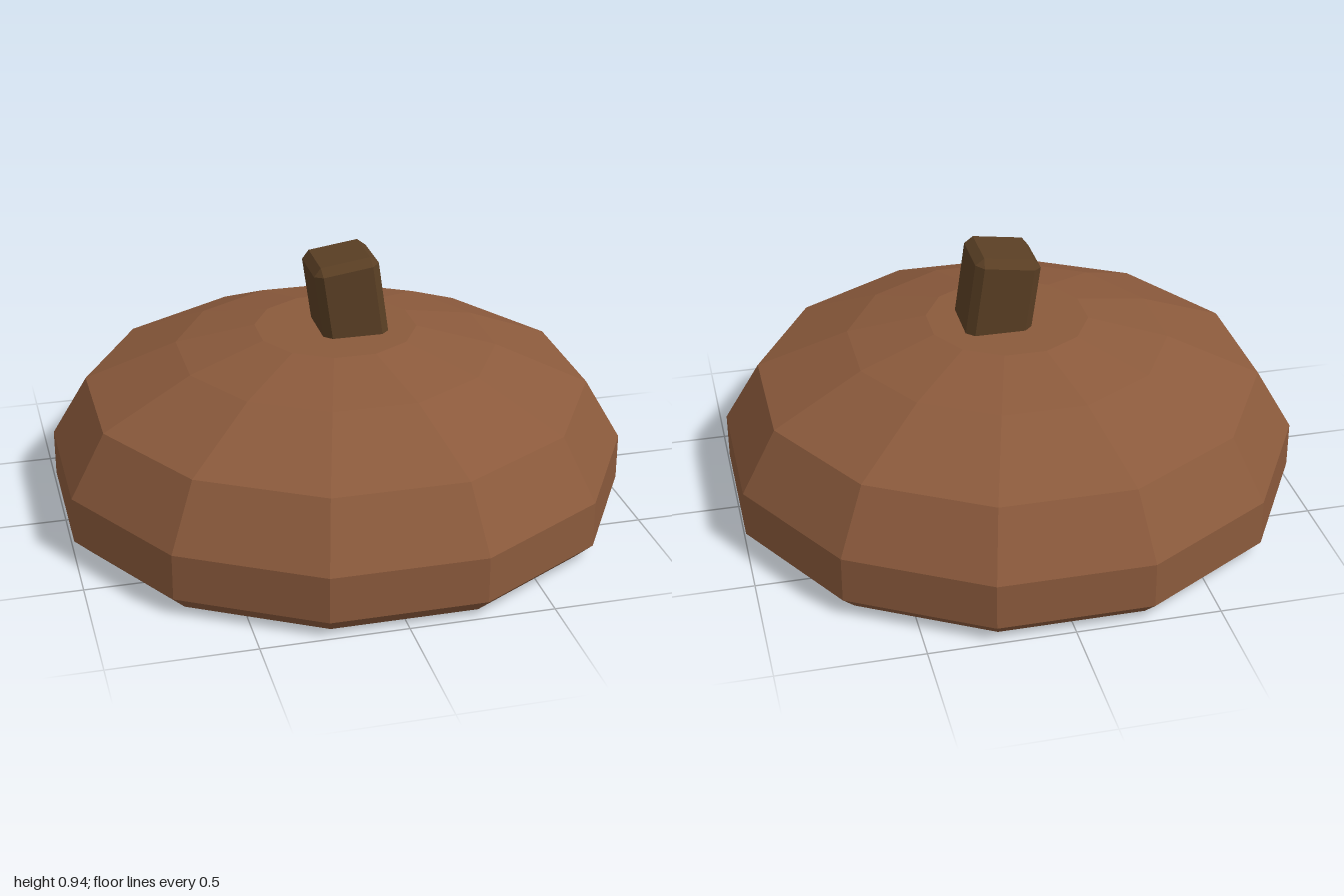
import * as THREE from 'three';
import { ConvexGeometry } from 'three/addons/geometries/ConvexGeometry.js';

// Split the faces so every facet is shaded flat
function faceted(geometry) {
  const flat = geometry.index ? geometry.toNonIndexed() : geometry;
  flat.computeVertexNormals();
  return flat;
}

// Box with every edge and corner cut by the same chamfer
function chamferedBox(w, h, d, c) {
  const points = [];
  for (const sx of [-1, 1]) for (const sy of [-1, 1]) for (const sz of [-1, 1]) {
    for (let full = 0; full < 3; full++) {
      const [x, y, z] = [w, h, d].map((s, i) => s / 2 - (i === full ? 0 : c));
      points.push(new THREE.Vector3(sx * x, sy * y, sz * z));
    }
  }
  return new ConvexGeometry(points);
}

export function createModel() {
  const brown = new THREE.MeshStandardMaterial({ color: 0x8b5a3c });
  brown.name = 'capBrown';
  const darkBrown = new THREE.MeshStandardMaterial({ color: 0x5a3f24 });
  darkBrown.name = 'stemBrown';

  const model = new THREE.Group();
  model.name = 'acornCap';

  // Twelve-sided dome; profile is [distance to flat side, height]
  const sides = 12;
  const toCorner = 1 / Math.cos(Math.PI / sides);
  const profile = [
    [0, 0], [0.94, 0], [1, 0.06], [1, 0.225],
    [0.875, 0.445], [0.555, 0.59], [0.28, 0.66], [0, 0.66],
  ].map(([r, y]) => new THREE.Vector2(r * toCorner, y));
  const cap = new THREE.Mesh(
    faceted(new THREE.LatheGeometry(profile, sides, Math.PI / sides)), brown);
  cap.name = 'cap';
  model.add(cap);

  // Leaning stem, sunk into the dome
  const stem = new THREE.Mesh(faceted(chamferedBox(0.235, 0.4, 0.24, 0.028)), darkBrown);
  stem.name = 'stem';
  stem.position.set(0.041, 0.734, 0);
  stem.rotation.z = THREE.MathUtils.degToRad(8);
  model.add(stem);

  return model;
}
